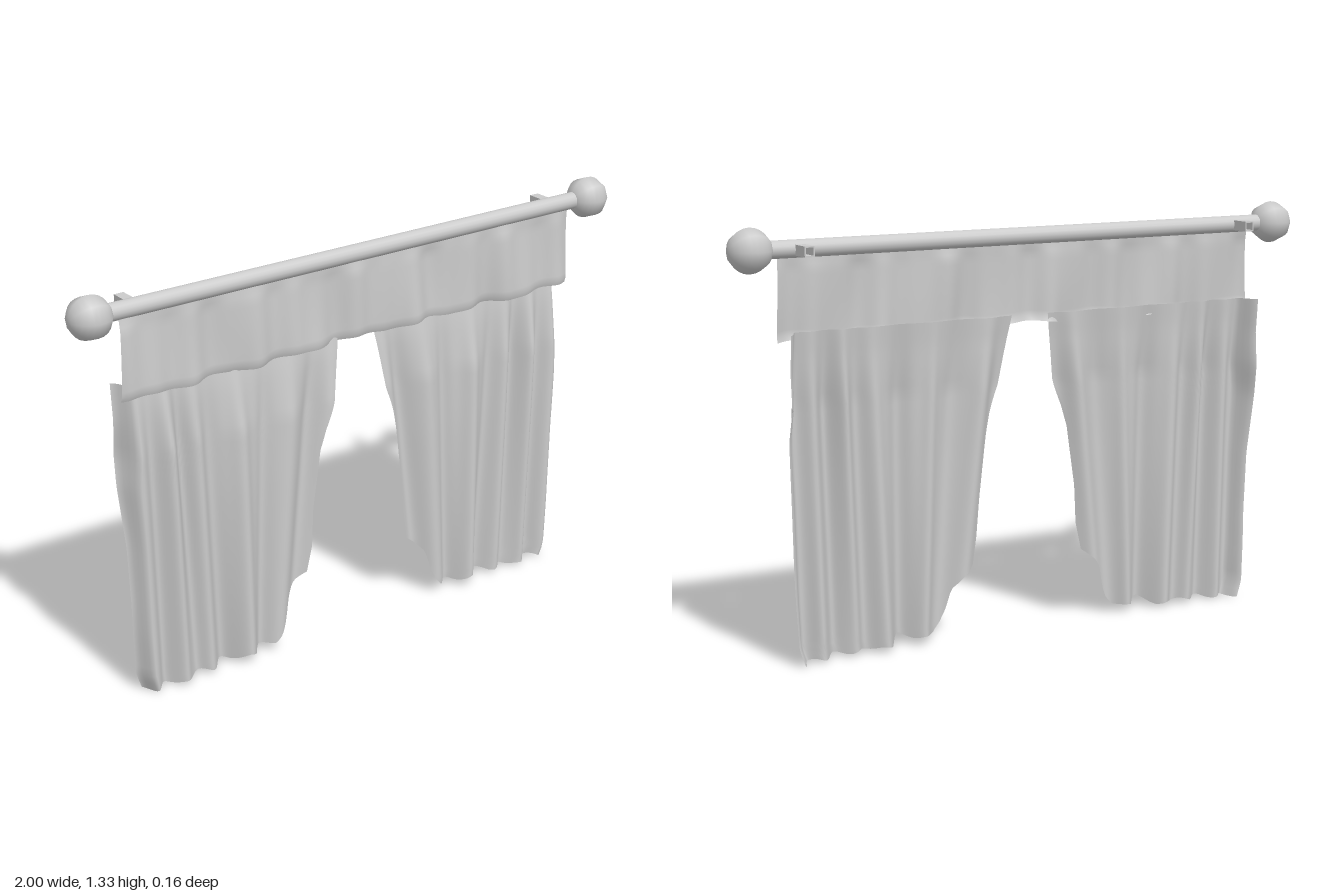
import * as THREE from 'three';

const material = new THREE.MeshStandardMaterial({ color: 0xcccccc, side: THREE.DoubleSide });
const { lerp, smoothstep } = THREE.MathUtils;

// Linear lookup in a short list of [position, value] pairs, ascending
function sample(table, t) {
  let i = 0;
  while (i < table.length - 2 && t > table[i + 1][0]) i++;
  const [a, b] = [table[i], table[i + 1]];
  return lerp(a[1], b[1], THREE.MathUtils.clamp((t - a[0]) / (b[0] - a[0]), 0, 1));
}

// Cloth sheet: rule(u, v) gives [x, y, z]; v = 0 is the lower edge
function cloth(rule, columns, rows) {
  const geometry = new THREE.PlaneGeometry(1, 1, columns, rows);
  const position = geometry.attributes.position;
  for (let i = 0; i < position.count; i++) {
    position.setXYZ(i, ...rule(position.getX(i) + 0.5, position.getY(i) + 0.5));
  }
  geometry.computeVertexNormals();
  return geometry;
}

function add(parent, name, geometry, x = 0, y = 0, z = 0) {
  const mesh = new THREE.Mesh(geometry, material);
  mesh.name = name;
  mesh.position.set(x, y, z);
  parent.add(mesh);
  return mesh;
}

// Edge outlines of a panel, by height, and its hem, by distance across
const innerEdge = [[0.24, 0.2], [0.33, 0.183], [0.45, 0.175], [0.65, 0.148], [0.72, 0.13], [0.8, 0.1], [0.9, 0.085], [1.02, 0.065]];
const outerEdge = [[0.01, 0.797], [0.06, 0.815], [0.2, 0.822], [0.5, 0.83], [0.7, 0.843], [0.8, 0.838], [1.02, 0.838]];
const hem = [[0, 0.24], [0.07, 0.205], [0.12, 0.17], [0.15, 0.1], [0.18, 0.06], [0.22, 0.035], [0.33, 0.03], [0.4, 0.04], [0.48, 0.022], [0.7, 0.018], [1, 0.01]];
const backFlap = [[0, -0.028], [0.3, -0.018], [0.5, -0.022], [0.7, -0.042], [0.8, -0.059], [0.9, -0.05], [1.02, -0.06]];
const centreDepth = [[0, 0.014], [0.6, 0.014], [0.8, 0.012], [0.95, 0.002], [1.02, -0.006]];
const foldStrength = [[0, 1], [0.8, 1], [0.95, 0.5], [1.02, 0.32]];

// Folds: distance across at the floor and at the top, width, depth at both
const folds = [
  [0.2, 0.09, 0.035, 0.012, 0.02],
  [0.26, 0.15, 0.035, -0.02, -0.036],
  [0.32, 0.25, 0.04, 0.022, 0.026],
  [0.375, 0.34, 0.025, -0.022, -0.018],
  [0.44, 0.45, 0.035, 0.046, 0.03],
  [0.51, 0.55, 0.03, -0.034, -0.02],
  [0.57, 0.6, 0.025, 0.018, 0.016],
  [0.61, 0.65, 0.022, -0.016, -0.032],
  [0.67, 0.7, 0.025, 0.03, 0.034],
  [0.725, 0.75, 0.022, -0.024, -0.016],
  [0.775, 0.8, 0.025, 0.018, 0.018],
];

// Left-hand panel: slanted folds, drawn back at the inner edge
function panelPoint(u, v) {
  const bottom = sample(hem, u) + 0.004 * Math.sin(u * 50) * smoothstep(u, 0.2, 0.35);
  const y = lerp(bottom, 1.02, v);
  const x = lerp(sample(innerEdge, y), sample(outerEdge, y), u);
  let relief = 0;
  for (const [low, high, width, lowDepth, highDepth] of folds) {
    const offset = (x - lerp(low, high, y)) / width;
    relief += lerp(lowDepth, highDepth, y) * Math.exp(-offset * offset);
  }
  const z = sample(centreDepth, y) + sample(foldStrength, y) * relief;
  return [x, y, lerp(z, sample(backFlap, y), smoothstep(u, 0.945, 1))];
}

// Valance: hangs from under the rod, with soft pleats and a rolled lower edge
function valancePoint(u, v) {
  const pleat = 0.5 * Math.sin(u * 53 + 0.8 * v) + 0.3 * Math.sin(u * 91 + 1) + 0.35 * Math.sin(u * 23 + 2 * v);
  const bottom = 0.99 + 0.004 * Math.sin(u * 41) - 0.003 * Math.sin(u * Math.PI * 3);
  const roll = 1 - smoothstep(v, 0, 0.07);
  const depth = lerp(0.019, 0.012, v) * (1 - 0.6 * smoothstep(v, 0.8, 1));
  const x = (u - 0.5) * lerp(1.7, 1.69, v);
  return [x, lerp(bottom, 1.25, v), lerp(0.023, 0.016, v) + depth * pleat - 0.007 * roll];
}

export function createModel() {
  const group = new THREE.Group();
  group.name = 'curtains';

  // Rod with a round finial at each end
  const rod = add(group, 'rod', new THREE.CylinderGeometry(0.027, 0.027, 1.8, 16), 0, 1.265, 0.008);
  rod.rotation.z = Math.PI / 2;

  // Open square tube used for the wall brackets
  const tube = new THREE.Shape([[-1, -1], [1, -1], [1, 1], [-1, 1]].map(([x, y]) => new THREE.Vector2(x * 0.016, y * 0.016)));
  tube.holes.push(new THREE.Path([[-1, -1], [-1, 1], [1, 1], [1, -1]].map(([x, y]) => new THREE.Vector2(x * 0.012, y * 0.012))));
  const bracket = new THREE.ExtrudeGeometry(tube, { depth: 0.07, bevelEnabled: false });

  for (const side of [1, -1]) {
    const name = side > 0 ? 'left' : 'right';
    add(group, name + 'Finial', new THREE.SphereGeometry(0.068, 8, 12), side * 0.932, 1.265, 0.01).rotation.z = Math.PI / 2;
    add(group, name + 'Bracket', bracket, side * 0.783, 1.263, -0.08);

    // Mirrored panels; u runs from left to right so the faces look forward
    const panel = cloth((u, v) => {
      const [x, y, z] = panelPoint(side > 0 ? u : 1 - u, v);
      return [side * x, y, z];
    }, 96, 36);
    add(group, name + 'Panel', panel);
  }

  add(group, 'valance', cloth(valancePoint, 160, 16));
  return group;
}
